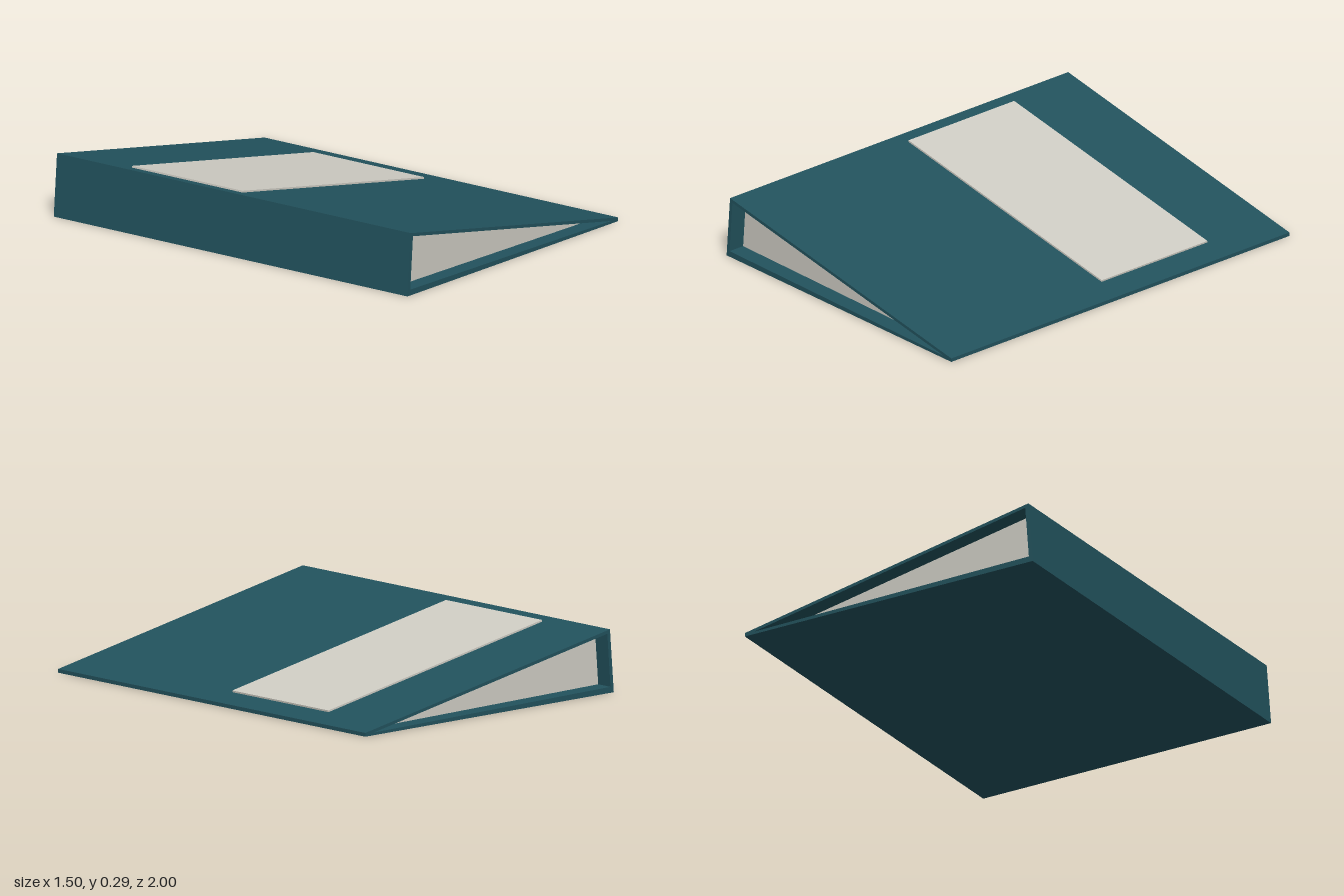
import * as THREE from 'three';

export function createModel() {
  const group = new THREE.Group();
  group.name = 'ringBinder';

  const teal = new THREE.MeshStandardMaterial({ color: 0x22525d });
  teal.name = 'tealCover';
  const cream = new THREE.MeshStandardMaterial({ color: 0xcfcdc4 });
  cream.name = 'creamPaper';

  const polygon = (points) => points.map(([x, y]) => new THREE.Vector2(x, y));

  // Extrude an xy profile between two z positions.
  function addPart(name, shape, zBack, zFront, material) {
    const geometry = new THREE.ExtrudeGeometry(shape, { depth: zFront - zBack, bevelEnabled: false });
    geometry.translate(0, 0, zBack);
    const mesh = new THREE.Mesh(geometry, material);
    mesh.name = name;
    group.add(mesh);
  }

  const outer = [[-0.75, 0], [0.75, 0], [0.75, 0.017], [-0.727, 0.287]];
  const inner = [[-0.73, 0.027], [0.7, 0.012], [-0.711, 0.269]];

  // Wrap-around cover: bottom board, spine and sloping top board
  const cover = new THREE.Shape(polygon(outer));
  cover.holes.push(new THREE.Path(polygon(inner)));
  addPart('cover', cover, -1, 1, teal);

  // Wedge of paper, set back from the open ends
  addPart('paperStack', new THREE.Shape(polygon(inner)), -0.92, 0.92, cream);

  // Thin label plate lying on the sloping top board
  const slopeY = (x) => 0.287 + (x + 0.727) * (0.017 - 0.287) / (0.75 + 0.727);
  const [x0, x1, lift] = [-0.665, 0.625, 0.008];
  const label = new THREE.Shape(polygon([
    [x0, slopeY(x0)], [x1, slopeY(x1)],
    [x1 + 0.001, slopeY(x1) + lift], [x0 + 0.001, slopeY(x0) + lift],
  ]));
  addPart('coverLabel', label, -0.625, 0, cream);

  return group;
}
